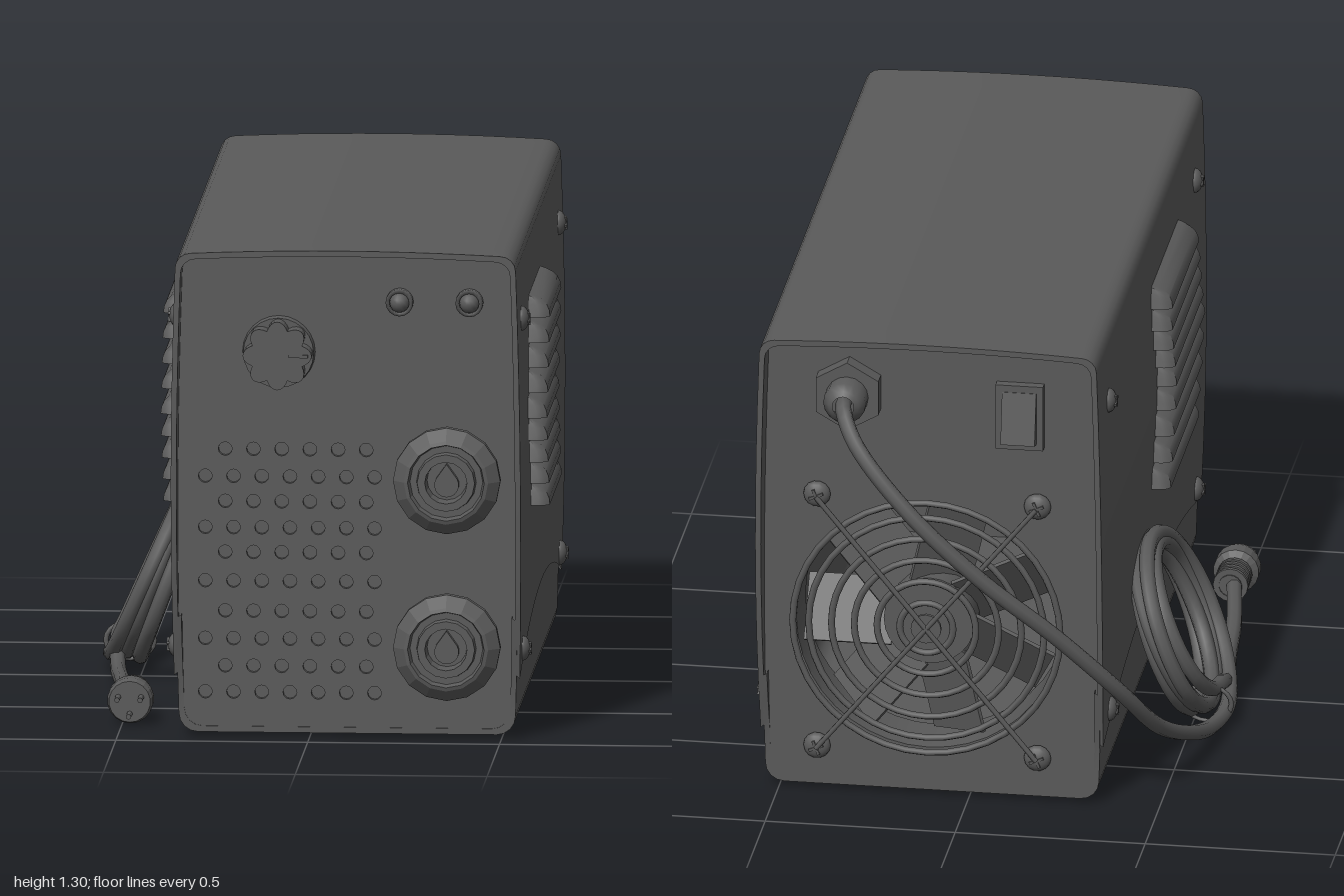
import * as THREE from 'three';
import { toCreasedNormals } from 'three/addons/utils/BufferGeometryUtils.js';

const CX = 0.098; // centre line of the housing
const dark = new THREE.MeshStandardMaterial({ color: 0x5a5a5a, side: THREE.DoubleSide });
const facet = new THREE.MeshStandardMaterial({ color: 0x5a5a5a, side: THREE.DoubleSide, flatShading: true });

function add(parent, name, geo, x = 0, y = 0, z = 0, mat = dark) {
  const mesh = new THREE.Mesh(geo, mat);
  mesh.name = name;
  mesh.position.set(x, y, z);
  parent.add(mesh);
  return mesh;
}
const lathe = (pts, sides) => new THREE.LatheGeometry(pts.map(p => new THREE.Vector2(...p)), sides).rotateX(Math.PI / 2);
const rod = (r0, r1, len, sides = 16) => new THREE.CylinderGeometry(r1, r0, len, sides).rotateX(Math.PI / 2);
const extrude = (shape, depth, curveSegments = 6) =>
  new THREE.ExtrudeGeometry(shape, { depth, bevelEnabled: false, curveSegments });

// Surface through columns of points
function loft(cols) {
  const n = cols[0].length, idx = [];
  for (let j = 0; j < cols.length - 1; j++) for (let i = 0; i < n - 1; i++) {
    const a = j * n + i, c = a + n;
    idx.push(a, a + 1, c, a + 1, c + 1, c);
  }
  const geo = new THREE.BufferGeometry();
  geo.setAttribute('position', new THREE.Float32BufferAttribute(cols.flat(2), 3));
  geo.setIndex(idx);
  return toCreasedNormals(geo, 0.6);
}

// Housing cross-section: slightly bulging sides, rounded corners, domed top
const R = 0.04;
const halfWidth = y => 0.456 - 0.012 * ((y - 0.6) / 0.65) ** 2;
function topHalf(e) {
  const pts = [], c = halfWidth(1.25) - R;
  for (let k = 0; k <= 8; k++) { const y = e + (1.25 - e) * k / 8; pts.push([halfWidth(y), y]); }
  for (let k = 1; k <= 4; k++) { const a = k * Math.PI / 8; pts.push([c + R * Math.cos(a), 1.25 + R * Math.sin(a)]); }
  for (let k = 4; k >= 0; k--) pts.push([c * k / 5, 1.3 - 0.01 * (k / 5) ** 2]);
  return pts;
}
function bottomHalf(e) {
  const pts = [], r = 0.05, c = halfWidth(0.065) - r;
  for (let k = 0; k <= 3; k++) { const y = e + (0.065 - e) * k / 3; pts.push([halfWidth(y), y]); }
  for (let k = 1; k <= 4; k++) { const a = k * Math.PI / 8; pts.push([c + r * Math.cos(a), 0.065 - r * Math.sin(a)]); }
  pts.push([0, 0.015]);
  return pts;
}
const mirrored = (half, s) => [...half.map(([x, y]) => [s * x, y]), ...half.slice(0, -1).reverse().map(([x, y]) => [-s * x, y])];
const inset = ([x, y]) => [x * 0.968, 0.66 + (y - 0.66) * 0.976];

// Front and rear edges sweep inward towards the floor
const sweep = y => 0.065 * ((1.3 - y) / 1.1) ** 3;
const frontZ = y => Math.max(0.922, 1 - sweep(y));
const backZ = y => Math.min(-0.755, -0.83 + sweep(y));
const seam = z => 0.285 - 0.115 * ((z - 0.08) / 0.83) ** 2;

// Thick wall: outer skin front to back, then inner skin back to front
function shell(pathAt) {
  const n = 20, cols = [];
  const col = (t, inner) => pathAt(t).map(p => {
    const [x, y] = inner ? inset(p) : p;
    return [CX + x, y, THREE.MathUtils.lerp(frontZ(p[1]), backZ(p[1]), t)];
  });
  for (let k = 0; k <= n; k++) cols.push(col(k / n, false));
  for (let k = n; k >= 0; k--) cols.push(col(k / n, true));
  cols.push(cols[0]);
  return loft(cols);
}

function panelShape() {
  const pts = [...mirrored(topHalf(0.3), -1), ...mirrored(bottomHalf(0.3), 1).slice(1, -1)];
  return new THREE.Shape(pts.map(inset).map(([x, y]) => new THREE.Vector2(CX + x, y)));
}
function punch(shape, x, y, r) {
  shape.holes.push(new THREE.Path().absarc(x, y, r, 0, Math.PI * 2, true));
}

// Pressed louvre hood: quarter-round, open below, closing to the wall at both ends
function louvre(side, z0, z1) {
  const profile = [[0.061, 0], [0.059, 0.016], [0.052, 0.032], [0.04, 0.044], [0.022, 0.053], [0, 0.057]];
  const ends = [[-1, 0], [-0.995, 0.55], [-0.975, 0.82], [-0.93, 1]];
  const stations = [...ends, ...ends.map(([u, f]) => [-u, f]).reverse()];
  const mid = (z0 + z1) / 2, half = (z1 - z0) / 2;
  return loft(stations.map(([u, f]) => profile.map(([o, y]) => [side * o * f, y, mid + u * half * (1 - y)])));
}

// Domed slotted screw facing +z before turning
function screw(parent, name, x, y, z, turn, r = 0.033) {
  const g = new THREE.Group();
  g.name = name;
  add(g, 'screwHead', new THREE.SphereGeometry(r, 14, 5, 0, Math.PI * 2, 0, Math.PI / 2).rotateX(Math.PI / 2).scale(1, 1, 0.65));
  for (const a of [0.4, 0.4 + Math.PI / 2])
    add(g, 'screwSlot', new THREE.BoxGeometry(r * 1.1, r * 0.2, 0.008).rotateZ(a), 0, 0, r * 0.6);
  g.position.set(x, y, z);
  g.rotation.y = turn;
  parent.add(g);
}

export function createModel() {
  const model = new THREE.Group();
  model.name = 'weldingMachine';

  // Housing
  add(model, 'cover', shell(t => mirrored(topHalf(seam(THREE.MathUtils.lerp(0.93, -0.77, t))), -1)));
  add(model, 'baseTray', shell(() => mirrored(bottomHalf(0.32).map(([x, y]) => [x * 0.98, y]), 1)));

  // Front panel with staggered blind vent holes
  const front = panelShape();
  [0.762, 0.69, 0.624, 0.555, 0.49, 0.414, 0.335, 0.262, 0.19, 0.121].forEach((y, row) => {
    const count = row % 2 ? 7 : 6, x0 = row % 2 ? -0.272 : -0.22;
    for (let i = 0; i < count; i++) punch(front, x0 + i * 0.0735, y, 0.018);
  });
  add(model, 'frontPanel', extrude(front, 0.015), 0, 0, 0.905);
  add(model, 'ventBacking', new THREE.BoxGeometry(0.54, 0.74, 0.01), -0.05, 0.44, 0.9);

  // Output sockets
  const key = new THREE.Shape();
  key.moveTo(0, 0.045).lineTo(-0.028, 0.006).absarc(0, -0.01, 0.032, Math.PI * 0.83, Math.PI * 2.17, false).lineTo(0, 0.045);
  for (const y of [0.69, 0.25]) {
    add(model, 'outputSocket', lathe([[0.125, 0], [0.14, 0.02], [0.14, 0.045], [0.11, 0.075], [0.1, 0.078], [0.095, 0.055],
      [0.078, 0.055], [0.075, 0.078], [0.055, 0.078], [0.052, 0.03], [0, 0.03]], 16), 0.36, y, 0.92, facet);
    add(model, 'socketPin', extrude(key, 0.03), 0.36, y, 0.94);
  }

  // Control knob with fluted grip, and indicator lamps
  const grip = new THREE.Shape();
  for (let i = 0; i < 64; i++) {
    const a = i / 64 * Math.PI * 2, r = 0.07 + 0.02 * Math.abs(Math.cos(4 * a));
    grip[i ? 'lineTo' : 'moveTo'](r * Math.cos(a), r * Math.sin(a));
  }
  add(model, 'knobSkirt', rod(0.095, 0.092, 0.025, 24), -0.08, 1.02, 0.932);
  add(model, 'knobGrip', extrude(grip, 0.055), -0.08, 1.02, 0.94);
  add(model, 'knobPointer', new THREE.BoxGeometry(0.05, 0.008, 0.006), -0.025, 1.02, 0.996);
  for (const x of [0.235, 0.417]) {
    add(model, 'lampBezel', lathe([[0.036, 0], [0.036, 0.02], [0.026, 0.025], [0.026, 0.01]], 16), x, 1.155, 0.92);
    add(model, 'lamp', new THREE.SphereGeometry(0.026, 14, 8), x, 1.155, 0.936);
  }

  // Side louvres and case screws
  const slats = [[0.04, 0.565], [0.07, 0.59], [0.1, 0.625], [0.13, 0.65], [0.14, 0.67], [0.12, 0.64], [0.09, 0.615], [0.07, 0.59], [0.07, 0.56]];
  for (const s of [1, -1]) {
    const side = new THREE.Group();
    side.name = s > 0 ? 'leftLouvres' : 'rightLouvres';
    slats.forEach(([z0, z1], i) => add(side, 'louvreSlat', louvre(s, z0, z1), CX + s * 0.443, 0.56 + i * 0.0619, 0));
    model.add(side);
    for (const y of [1.1, 0.23]) for (const z of [0.835, -0.65])
      screw(model, 'caseScrew', CX + s * (halfWidth(y) - 0.001), y, z, s * Math.PI / 2);
  }

  // Rear panel with fan opening
  const FX = 0.11, FY = 0.48, back = panelShape();
  punch(back, FX, FY, 0.345);
  add(model, 'rearPanel', extrude(back, 0.015, 20), 0, 0, -0.755);

  // Cooling fan and wire guard
  const fan = new THREE.Group();
  fan.name = 'coolingFan';
  add(fan, 'fanDuct', new THREE.CylinderGeometry(0.345, 0.345, 0.14, 40, 1, true).rotateX(Math.PI / 2), 0, 0, 0.085);
  add(fan, 'fanHub', rod(0.12, 0.12, 0.1, 24), 0, 0, 0.08);
  for (let i = 0; i < 7; i++) {
    const blade = new THREE.BoxGeometry(0.23, 0.18, 0.01).rotateX(0.6).translate(0.215, 0, 0);
    add(fan, 'fanBlade', blade.rotateZ(i / 7 * Math.PI * 2), 0, 0, 0.08);
  }
  for (const r of [0.07, 0.13, 0.19, 0.25, 0.31, 0.352])
    add(fan, 'guardRing', new THREE.TorusGeometry(r, 0.009, 6, 40), 0, 0, -0.02);
  add(fan, 'guardCentre', rod(0.04, 0.04, 0.01), 0, 0, -0.025);
  for (const sx of [1, -1]) for (const sy of [1, -1]) {
    const x = sx * 0.29, y = sy * 0.355, len = Math.hypot(x, y);
    add(fan, 'guardSpoke', new THREE.CylinderGeometry(0.007, 0.007, len, 6).rotateZ(Math.atan2(y, x) - Math.PI / 2), x / 2, y / 2, -0.03);
    screw(fan, 'fanScrew', x, y, -0.005, Math.PI, 0.036);
  }
  fan.position.set(FX, FY, -0.755);
  model.add(fan);

  // Power switch
  add(model, 'switchFrame', new THREE.BoxGeometry(0.125, 0.18, 0.03), -0.135, 1.09, -0.765);
  add(model, 'switchRocker', new THREE.BoxGeometry(0.09, 0.14, 0.03).rotateX(0.2), -0.135, 1.09, -0.782);

  // Cable gland
  add(model, 'glandNut', rod(0.095, 0.095, 0.05, 6), 0.315, 1.13, -0.775, facet);
  add(model, 'glandSleeve', lathe([[0.028, -0.87], [0.04, -0.862], [0.056, -0.845], [0.056, -0.79]], 16), 0.315, 1.13, 0);

  // Power cord: drops from the gland, coils against the side, runs forward to the plug
  const path = [[0.315, 1.13, -0.8], [0.315, 1.125, -0.87], [0.27, 1.05, -0.935], [0.12, 0.88, -0.978], [-0.06, 0.7, -0.955],
    [-0.25, 0.52, -0.885], [-0.4, 0.34, -0.79], [-0.48, 0.19, -0.65], [-0.54, 0.09, -0.45], [-0.57, 0.04, -0.27]];
  const steps = 12, loops = 4;
  for (let i = 0; i <= steps * loops; i++) {
    const a = i / steps * Math.PI * 2, k = i / steps, r = 0.238 + 0.015 * Math.cos(k * 2.4) - 0.006 * k;
    const up = -Math.cos(a) * r, off = 0.035 * Math.min(k, loops - k);
    path.push([-0.49 + up * 0.38 + off, 0.275 + up * 0.92 - off * 0.4, -0.14 + 0.008 * k + Math.sin(a) * (r + 0.005)]);
  }
  path.push([-0.555, 0.035, 0.06], [-0.535, 0.03, 0.22], [-0.52, 0.04, 0.4], [-0.49, 0.06, 0.6]);
  const curve = new THREE.CatmullRomCurve3(path.map(p => new THREE.Vector3(...p)));
  add(model, 'powerCord', new THREE.TubeGeometry(curve, 320, 0.021, 8));
  add(model, 'cordTie', new THREE.TorusGeometry(0.055, 0.006, 6, 20).scale(1.15, 0.9, 1), -0.54, 0.065, -0.19);

  // Mains plug with ribbed strain relief
  const plug = new THREE.Group();
  plug.name = 'plug';
  for (let i = 0; i < 4; i++) add(plug, 'strainRib', rod(0.046, 0.046, 0.012), 0, 0, 0.01 + i * 0.022);
  add(plug, 'plugBody', lathe([[0.03, 0], [0.035, 0.085], [0.06, 0.1], [0.06, 0.14], [0.054, 0.16], [0, 0.16]], 18), 0, 0, 0, facet);
  for (const [x, y] of [[-0.03, 0.012], [0.03, 0.012], [0, -0.032]])
    add(plug, 'plugPin', rod(0.008, 0.007, 0.055, 8), x, y, 0.18);
  plug.position.set(-0.48, 0.063, 0.595);
  model.add(plug);

  return model;
}
